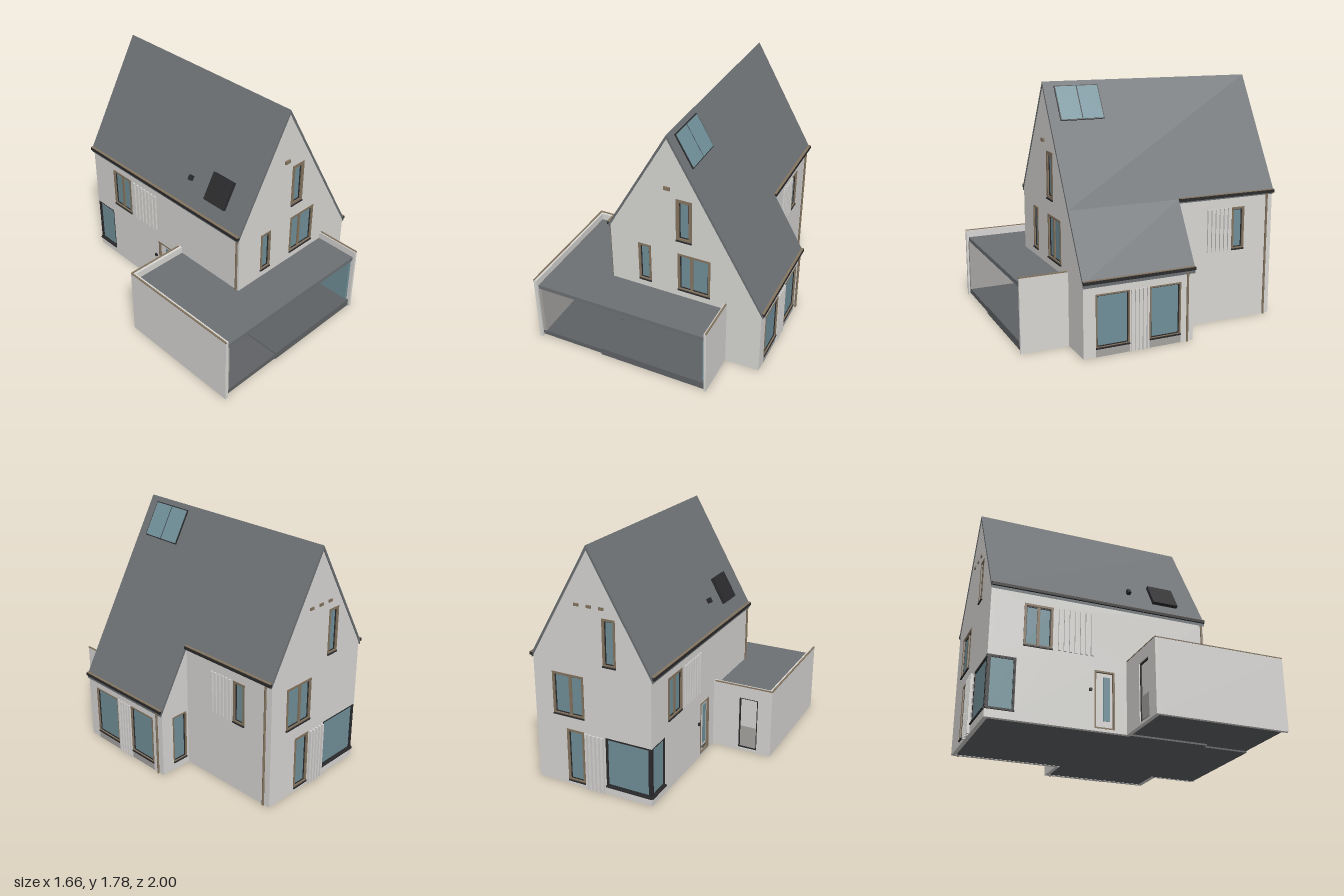
import * as THREE from 'three';

const mat = (name, color) => {
  const m = new THREE.MeshStandardMaterial({ color });
  m.name = name;
  return m;
};

export function createModel() {
  const wallM = mat('render', 0xd8d7d4), roofM = mat('roofGrey', 0x6d7174), darkM = mat('darkMetal', 0x2b2b2d);
  const glassM = mat('glass', 0x71909a), woodM = mat('woodFrame', 0x857560), greyM = mat('interiorGrey', 0xa6a4a1);
  const floorM = mat('floorGrey', 0x5f6265);
  const house = new THREE.Group();
  house.name = 'house';

  // Box given by its two extreme corners
  const box = (parent, name, m, x0, x1, y0, y1, z0, z1) => {
    const b = new THREE.Mesh(new THREE.BoxGeometry(x1 - x0, y1 - y0, z1 - z0), m);
    b.position.set((x0 + x1) / 2, (y0 + y1) / 2, (z0 + z1) / 2);
    b.name = name;
    parent.add(b);
    return b;
  };
  const poly = (pts) => pts.map((p) => new THREE.Vector2(...p));
  const rect = (a, b, c, d) => poly([[a, c], [b, c], [b, d], [a, d]]);
  // Flat outline with rectangular holes, extruded from z0 to z1
  const plate = (parent, name, m, pts, holes, z0, z1) => {
    const s = new THREE.Shape(pts);
    holes.forEach((h) => s.holes.push(new THREE.Path(rect(...h))));
    const g = new THREE.ExtrudeGeometry(s, { depth: z1 - z0, bevelEnabled: false });
    g.translate(0, 0, z0);
    const p = new THREE.Mesh(g, m);
    p.name = name;
    parent.add(p);
    return p;
  };
  // Wall whose outer face lies on local z = 0; u runs to the right seen from outside
  const wall = (name, x, z, turn, pts, holes = []) => {
    const g = new THREE.Group();
    g.name = name;
    g.position.set(x, 0, z);
    g.rotation.y = turn;
    plate(g, name + 'Panel', wallM, poly(pts), holes, -0.03, 0);
    house.add(g);
    return g;
  };
  // Recessed window: wood surround, dark sash, glass, mullions and sill
  const windowIn = (g, [a, b, c, d], { w = 0.016, splits = [], frame = woodM, proud = 0.004 } = {}) => {
    plate(g, 'windowFrame', frame, rect(a, b, c, d), [[a + w, b - w, c + w, d - w]], -0.025, proud);
    const e = w + 0.006;
    plate(g, 'windowSash', darkM, rect(a + w, b - w, c + w, d - w), [[a + e, b - e, c + e, d - e]], -0.022, -0.006);
    box(g, 'windowGlass', glassM, a + w, b - w, c + w, d - w, -0.02, -0.012);
    splits.forEach((s) => box(g, 'mullion', frame, s - 0.01, s + 0.01, c + w, d - w, -0.02, -0.002));
    box(g, 'windowSill', darkM, a, b, c - 0.004, c + 0.007, -0.01, 0.009);
  };
  const slats = (g, a, b, c, d, n, out) => {
    const step = (b - a) / n;
    for (let i = 0; i < n; i++) {
      const u = a + (i + 0.5) * step;
      box(g, 'slat', wallM, u - step * 0.24, u + step * 0.24, c, d, 0, out);
    }
  };

  // Front gable, open towards the extension
  const fw = [[-0.14, -0.04, 0.54, 0.86], [0.17, 0.42, 0.54, 0.86], [0.16, 0.28, 0.97, 1.31]];
  const front = wall('frontGable', 0, 0.65, 0,
    [[-0.36, 0.45], [0.53, 0.45], [0.53, 0], [0.81, 0], [0.81, 0.516], [0.1, 1.755], [-0.36, 0.952]], fw);
  windowIn(front, fw[0]);
  windowIn(front, fw[1], { splits: [0.275] });
  windowIn(front, fw[2], { w: 0.024 });
  box(front, 'gableVent', woodM, 0.073, 0.12, 1.365, 1.39, 0, 0.012);

  // Back gable with a notch for the corner window
  const bw = [[-0.41, -0.16, 0.54, 0.86], [0, 0.1, 0.97, 1.31], [-0.31, -0.17, 0.03, 0.44]];
  const back = wall('backGable', 0, -0.98, Math.PI,
    [[-0.56, 0], [0.36, 0], [0.36, 0.06], [0, 0.06], [0, 0.44], [0.36, 0.44], [0.36, 0.952], [-0.1, 1.755], [-0.56, 0.952]], bw);
  windowIn(back, bw[0], { splits: [-0.27] });
  windowIn(back, bw[1]);
  windowIn(back, bw[2]);
  windowIn(back, [0, 0.36, 0.06, 0.44], { w: 0.01, frame: darkM, proud: -0.004 });
  slats(back, -0.165, -0.005, 0, 0.435, 5, 0.02);
  [-0.19, -0.095, 0].forEach((u) => box(back, 'gableVent', woodM, u - 0.018, u + 0.018, 1.365, 1.385, 0, 0.008));

  // Left wall with front door
  const lw = [[-0.74, -0.53, 0.54, 0.86], [-0.22, -0.07, 0.02, 0.44]];
  const left = wall('leftWall', -0.36, 0, -Math.PI / 2,
    [[-0.98, 0], [0.03, 0], [0.03, 0.45], [0.65, 0.45], [0.65, 0.952], [-0.98, 0.952], [-0.98, 0.44],
      [-0.78, 0.44], [-0.78, 0.06], [-0.98, 0.06]], lw);
  windowIn(left, lw[0], { splits: [-0.635] });
  windowIn(left, [-0.98, -0.78, 0.06, 0.44], { w: 0.01, frame: darkM, proud: -0.004 });
  slats(left, -0.5, -0.22, 0.54, 0.86, 7, 0.012);
  plate(left, 'doorFrame', woodM, rect(...lw[1]), [[-0.208, -0.082, 0.03, 0.428]], -0.025, 0.002);
  box(left, 'frontDoor', wallM, -0.208, -0.082, 0.03, 0.428, -0.025, -0.015);
  box(left, 'doorGlass', glassM, -0.15, -0.1, 0.08, 0.4, -0.016, -0.011);
  box(left, 'doorLamp', darkM, -0.26, -0.24, 0.28, 0.3, 0, 0.012);

  // Low right wall under the long roof slope
  const rw = [[-0.56, -0.31, 0.06, 0.44], [-0.16, 0.08, 0.06, 0.44]];
  const right = wall('lowRightWall', 0.81, 0, Math.PI / 2, [[-0.65, 0], [0.18, 0], [0.18, 0.516], [-0.65, 0.516]], rw);
  rw.forEach((r) => {
    windowIn(right, r, { w: 0.01 });
    box(right, 'windowApron', greyM, r[0], r[1], 0, 0.056, 0, 0.002);
  });
  slats(right, -0.31, -0.16, 0, 0.44, 5, 0.012);
  const sw = [-0.71, -0.58, 0.06, 0.44];
  windowIn(wall('wingBackWall', 0, -0.18, Math.PI, [[-0.81, 0], [-0.53, 0], [-0.53, 1], [-0.81, 0.516]], [sw]), sw, { w: 0.01 });

  // High right wall
  const hw = [0.635, 0.74, 0.54, 0.86];
  const high = wall('highRightWall', 0.56, 0, Math.PI / 2, [[0.15, 0], [0.98, 0], [0.98, 0.952], [0.15, 0.952]], [hw]);
  windowIn(high, hw);
  slats(high, 0.42, 0.625, 0.54, 0.86, 6, 0.012);

  // Roof: full-length ridge section plus the long lower slope
  const rise = 1.745, top = 1.785, t = 0.032;
  const roofY = (x) => top - rise * Math.abs(x - 0.1);
  plate(house, 'mainRoof', roofM, poly([[-0.375, roofY(-0.375) - t], [0.1, top - t], [0.57, roofY(0.57) - t],
    [0.57, roofY(0.57)], [0.1, top], [-0.375, roofY(-0.375)]]), [], -0.985, 0.653);
  plate(house, 'lowerRoof', roofM, poly([[0.57, roofY(0.57) - t], [0.822, roofY(0.822) - t],
    [0.822, roofY(0.822)], [0.57, roofY(0.57)]]), [], -0.185, 0.653);

  // Gutters with wooden lips, and downpipes
  const gutter = (x0, x1, y, z0, z1) => {
    box(house, 'gutter', darkM, x0, x1, y - 0.022, y, z0, z1);
    box(house, 'gutterLip', woodM, x0 + 0.003, x1 - 0.003, y, y + 0.004, z0, z1);
  };
  gutter(-0.388, -0.362, 0.968, -0.985, 0.653);
  gutter(0.562, 0.588, 0.968, -0.985, -0.185);
  gutter(0.81, 0.833, 0.54, -0.185, 0.653);
  [[-0.367, 0.63, 0.48, 0.95], [0.568, -0.93, 0, 0.95], [0.818, -0.13, 0, 0.53]].forEach(([x, z, y0, y1]) => {
    const p = new THREE.Mesh(new THREE.CylinderGeometry(0.008, 0.008, y1 - y0, 10), woodM);
    p.position.set(x, (y0 + y1) / 2, z);
    p.name = 'downpipe';
    house.add(p);
  });

  // Fittings lying on the roof slopes: local x runs along the slope, y points out
  const onRoof = (name, x, z) => {
    const g = new THREE.Group();
    g.name = name;
    g.position.set(x, roofY(x), z);
    g.rotation.z = Math.atan(rise) * (x > 0.1 ? -1 : 1);
    house.add(g);
    return g;
  };
  const sky = onRoof('skylight', 0.185, 0.41);
  box(sky, 'skylightFrame', darkM, -0.132, 0.132, -0.01, 0.008, -0.165, 0.165);
  [-1, 1].forEach((s) => box(sky, 'skylightGlass', glassM, -0.125, 0.125, 0.006, 0.011, s * 0.081 - 0.077, s * 0.081 + 0.077));
  box(onRoof('roofHatch', -0.26, 0.36), 'hatchPanel', darkM, -0.105, 0.105, -0.01, 0.025, -0.1, 0.1);
  box(onRoof('roofVent', -0.27, 0.08), 'ventCap', darkM, -0.018, 0.018, -0.01, 0.03, -0.014, 0.014);

  // Flat-roofed extension
  const aw = [-0.0, 0, 0, 0].map((_, i) => [0.57, 0.72, 0.02, 0.44][i]);
  const rear = wall('extensionBackWall', 0, 0.02, Math.PI, [[0.33, 0], [0.83, 0], [0.83, 0.535], [0.33, 0.535]], [aw]);
  plate(rear, 'rearDoorFrame', darkM, rect(...aw), [[0.58, 0.71, 0.03, 0.43]], -0.028, -0.008);
  box(rear, 'rearDoorPanel', greyM, 0.58, 0.71, 0.03, 0.2, -0.026, -0.014);
  box(rear, 'rearDoorGlass', wallM, 0.58, 0.71, 0.2, 0.43, -0.026, -0.018);
  box(house, 'rearLining', wallM, -0.8, -0.31, 0.05, 0.45, 0.05, 0.06);
  box(house, 'extensionRoof', roofM, -0.81, 0.535, 0.45, 0.482, 0.04, 0.98);
  box(house, 'extensionLeftWall', wallM, -0.83, -0.805, 0, 0.535, 0.02, 1);
  box(house, 'leftWallLining', greyM, -0.806, -0.78, 0.05, 0.45, 0.06, 0.985);
  box(house, 'extensionRightWall', wallM, 0.53, 0.548, 0, 0.535, 0.64, 1);
  box(house, 'sidePane', glassM, 0.508, 0.53, 0.07, 0.45, 0.66, 0.97);
  box(house, 'innerPane', glassM, -0.322, -0.312, 0.05, 0.45, 0.07, 0.3);
  [[-0.832, -0.82, 0.02, 1], [0.538, 0.55, 0.655, 1], [-0.83, -0.37, 0.018, 0.03]].forEach(([x0, x1, z0, z1]) =>
    box(house, 'coping', woodM, x0, x1, 0.533, 0.54, z0, z1));

  // Floors and ceiling
  box(house, 'houseFloor', floorM, -0.345, 0.545, 0.002, 0.06, -0.965, 0.64);
  box(house, 'wingFloor', floorM, 0.545, 0.795, 0.002, 0.06, -0.165, 0.635);
  box(house, 'livingFloor', floorM, -0.305, 0.53, 0.002, 0.06, 0.64, 0.985);
  box(house, 'terraceFloor', floorM, -0.806, -0.305, 0.015, 0.052, 0.04, 0.985);
  box(house, 'ceiling', wallM, -0.34, 0.54, 0.452, 0.48, -0.96, 0.63);

  // Interior partitions and staircase
  plate(house, 'stairWall', wallM, rect(-0.33, 0.1, 0.06, 0.45),
    [[-0.23, -0.11, 0.062, 0.41], [-0.05, 0.09, 0.29, 0.41]], -0.22, -0.2);
  box(house, 'sideRoomWall', greyM, 0.31, 0.53, 0.06, 0.45, -0.22, -0.2);
  box(house, 'stairBackWall', wallM, -0.33, 0.1, 0.06, 0.45, -0.72, -0.7);
  for (let i = 0; i < 8; i++) {
    const y = 0.08 + i * 0.042;
    box(house, 'stairTread', greyM, -0.23, -0.12, y, y + 0.012, -0.31 - i * 0.045, -0.25 - i * 0.045);
  }
  return house;
}
